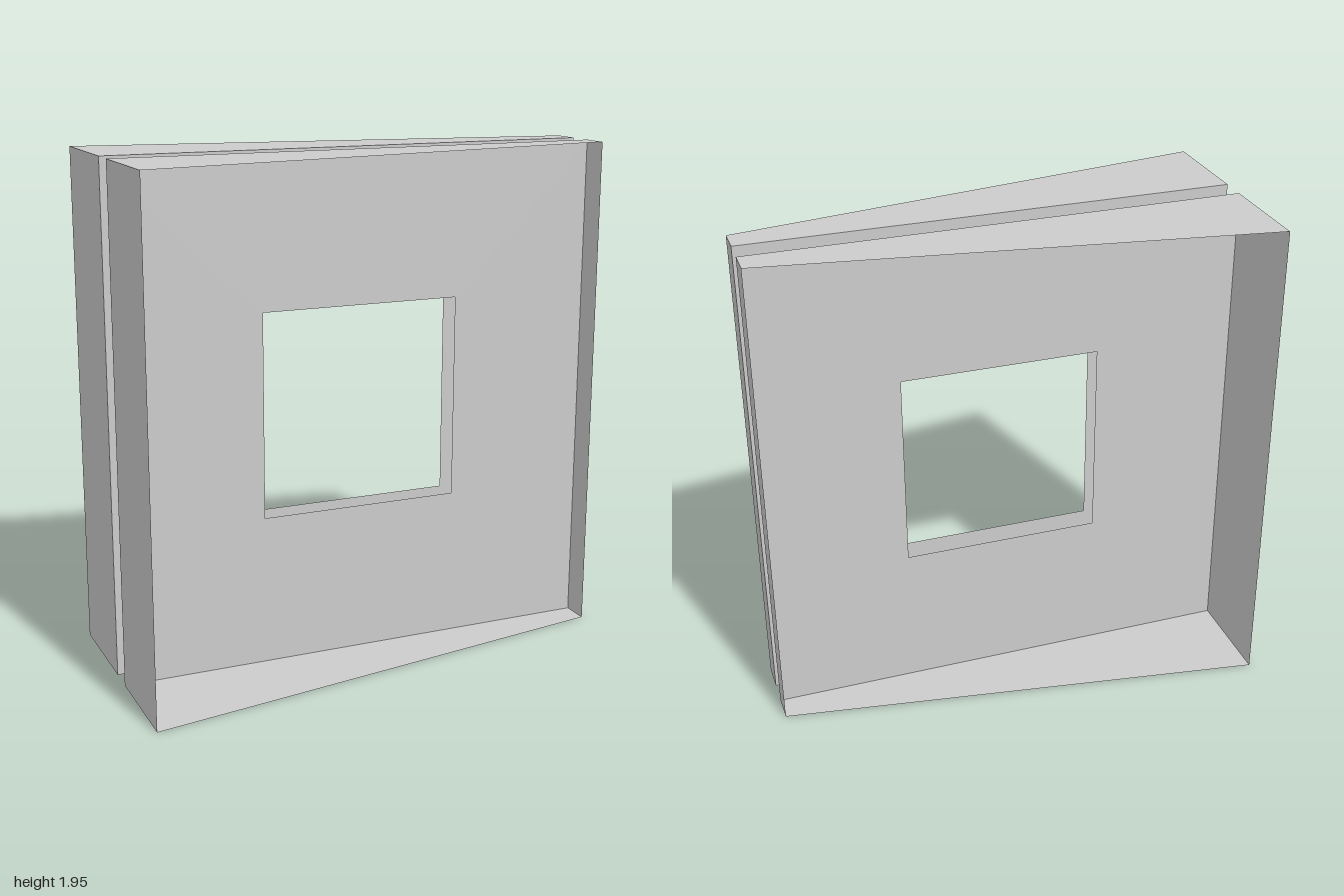
import * as THREE from 'three';

const HEIGHT = 1.95;
const material = new THREE.MeshStandardMaterial({ color: 0xcccccc, side: THREE.DoubleSide, flatShading: true });

function addMesh(group, name, geometry) {
  const mesh = new THREE.Mesh(geometry, material);
  mesh.name = name;
  group.add(mesh);
  return mesh;
}

// Upright sheet between two plan points [x, z], with an optional central window
function uprightSheet([x0, z0], [x1, z1], windowHalf = 0) {
  const length = Math.hypot(x1 - x0, z1 - z0);
  const shape = new THREE.Shape([
    new THREE.Vector2(0, 0), new THREE.Vector2(length, 0),
    new THREE.Vector2(length, HEIGHT), new THREE.Vector2(0, HEIGHT),
  ]);
  if (windowHalf) {
    const cx = length / 2, cy = HEIGHT / 2, h = windowHalf;
    shape.holes.push(new THREE.Path([
      new THREE.Vector2(cx - h, cy - h), new THREE.Vector2(cx - h, cy + h),
      new THREE.Vector2(cx + h, cy + h), new THREE.Vector2(cx + h, cy - h),
    ]));
  }
  return new THREE.ShapeGeometry(shape)
    .rotateY(-Math.atan2(z1 - z0, x1 - x0))
    .translate(x0, 0, z0);
}

// Level sheet covering a plan outline at height y
function levelSheet(plan, y) {
  const shape = new THREE.Shape(plan.map(([x, z]) => new THREE.Vector2(x, -z)));
  return new THREE.ShapeGeometry(shape).rotateX(-Math.PI / 2).translate(0, y, 0);
}

// Thin wedge-shaped tray: open on its outer side, windowed panel on its inner side
// plan order: outer right, inner right, inner left, outer left
function wedgeTray(name, plan) {
  const group = new THREE.Group();
  group.name = name;
  const [outerRight, innerRight, innerLeft, outerLeft] = plan;
  addMesh(group, 'windowPanel', uprightSheet(innerRight, innerLeft, 0.395));
  addMesh(group, 'deepSideWall', uprightSheet(outerRight, innerRight));
  addMesh(group, 'shallowSideWall', uprightSheet(innerLeft, outerLeft));
  addMesh(group, 'topWall', levelSheet(plan, HEIGHT));
  addMesh(group, 'bottomWall', levelSheet(plan, 0));
  return group;
}

export function createModel() {
  const model = new THREE.Group();
  model.name = 'windowedWedgeTrays';
  model.add(
    wedgeTray('frontTray', [[-1, 0.457], [-0.935, 0.05], [0.963, 0.35], [0.946, 0.457]]),
    wedgeTray('backTray', [[-0.853, -0.46], [-0.918, -0.05], [0.98, 0.25], [0.997, 0.142]]),
  );
  return model;
}
